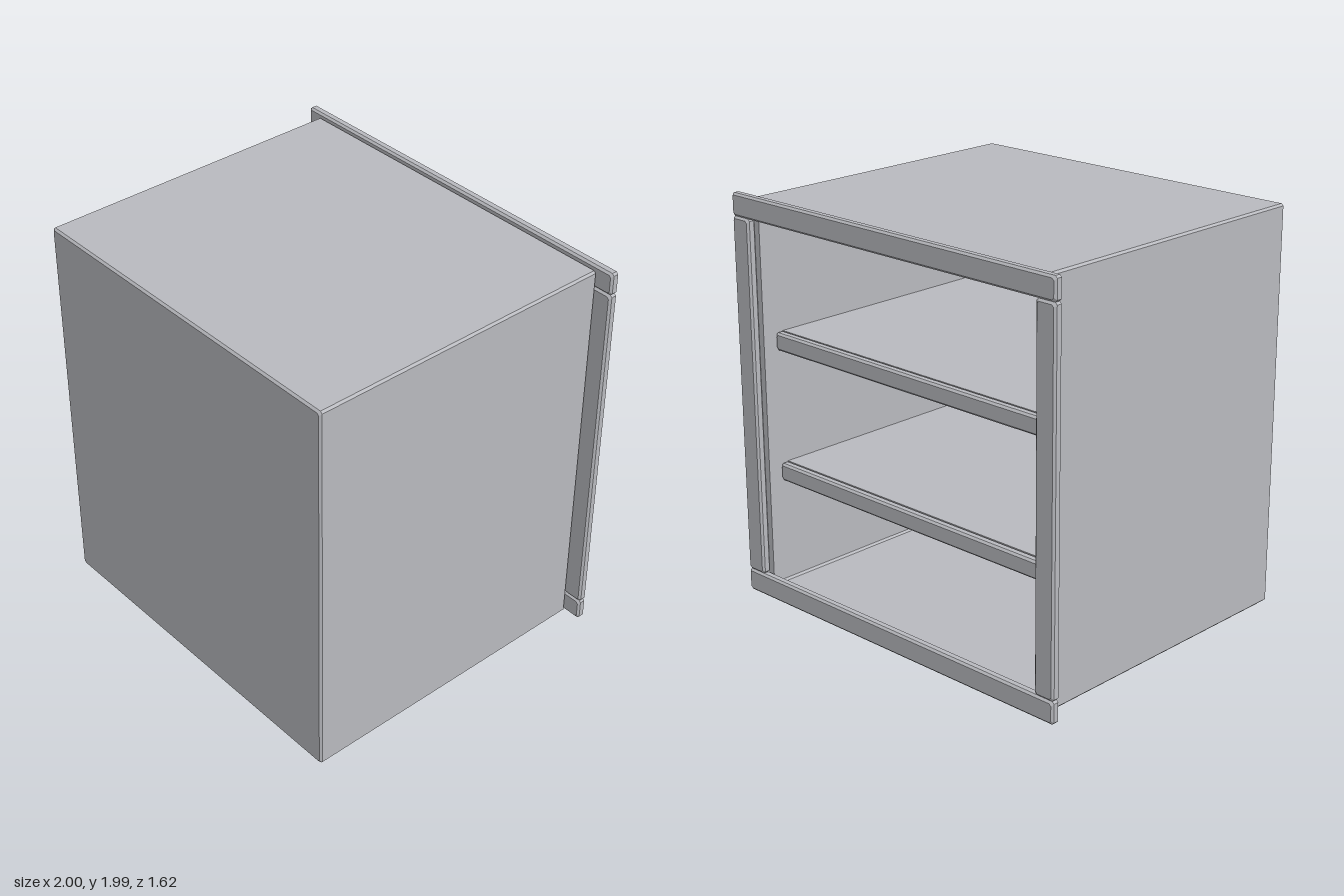
import * as THREE from 'three';

const BEVEL = 0.01;

// Skin a run of rectangular cross-sections [width, height, z], front to back, with clipped corners
function loft(sections) {
  const rings = sections.map(([w, h, z]) => {
    const c = Math.min(BEVEL, w / 2, h / 2), x = w / 2, y = h / 2;
    return [
      [x, -y + c], [x, y - c], [x - c, y], [-x + c, y],
      [-x, y - c], [-x, -y + c], [-x + c, -y], [x - c, -y],
    ].map(([px, py]) => [px, py, z]);
  });
  const pos = [];
  for (let i = 0; i < rings.length - 1; i++) {
    for (let j = 0; j < 8; j++) {
      const k = (j + 1) % 8;
      const a = rings[i][j], b = rings[i][k], c = rings[i + 1][j], d = rings[i + 1][k];
      pos.push(...a, ...c, ...b, ...b, ...c, ...d);
    }
  }
  const geo = new THREE.BufferGeometry();
  geo.setAttribute('position', new THREE.Float32BufferAttribute(pos, 3));
  geo.computeVertexNormals();
  return geo;
}

// Board with chamfered edges
function boardGeometry(w, h, d) {
  const b = BEVEL, z = d / 2;
  return loft([
    [0, 0, z], [w - 2 * b, h - 2 * b, z], [w, h, z - b],
    [w, h, -z + b], [w - 2 * b, h - 2 * b, -z], [0, 0, -z],
  ]);
}

export function createModel() {
  const model = new THREE.Group();
  model.name = 'openCabinet';
  const grey = new THREE.MeshStandardMaterial({ color: 0xb9babf });
  grey.name = 'paintedGrey';

  const add = (name, geo, x, y, z) => {
    const mesh = new THREE.Mesh(geo, grey);
    mesh.name = name;
    mesh.position.set(x, y, z);
    model.add(mesh);
  };

  // Hollow carcass, open at the back
  const W = 1.83, H = 1.965, T = 0.045, front = 0.81, back = -0.765, b = BEVEL;
  add('carcass', loft([
    [0, 0, front], [W - 2 * b, H - 2 * b, front], [W, H, front - b],
    [W, H, back + b], [W - 2 * b, H - 2 * b, back],
    [W - 2 * T, H - 2 * T, back], [W - 2 * T, H - 2 * T, front - T], [0, 0, front - T],
  ]), 0, 0.003 + H / 2, 0);

  // Frame around the opening
  const frameZ = -0.79, depth = 0.046, rail = 0.11, top = 1.985;
  add('bottomRail', boardGeometry(2, rail, depth), 0, rail / 2, frameZ);
  add('topRail', boardGeometry(2, rail, depth), 0, top - rail / 2, frameZ);
  for (const side of [1, -1]) {
    add(side > 0 ? 'leftStile' : 'rightStile',
      boardGeometry(rail, top - 2 * rail, depth), side * (1 - rail / 2), top / 2, frameZ);
  }

  // Shelves, each with a deeper edge strip
  const inner = W - 2 * T, shelfBack = -0.65, shelfFront = front - T;
  for (const y of [0.66, 1.315]) {
    add('shelf', new THREE.BoxGeometry(inner, T, shelfFront - shelfBack),
      0, y - T / 2, (shelfFront + shelfBack) / 2);
    add('shelfEdge', boardGeometry(inner, 0.087, depth), 0, y - 0.043, shelfBack - depth / 2);
  }
  return model;
}
